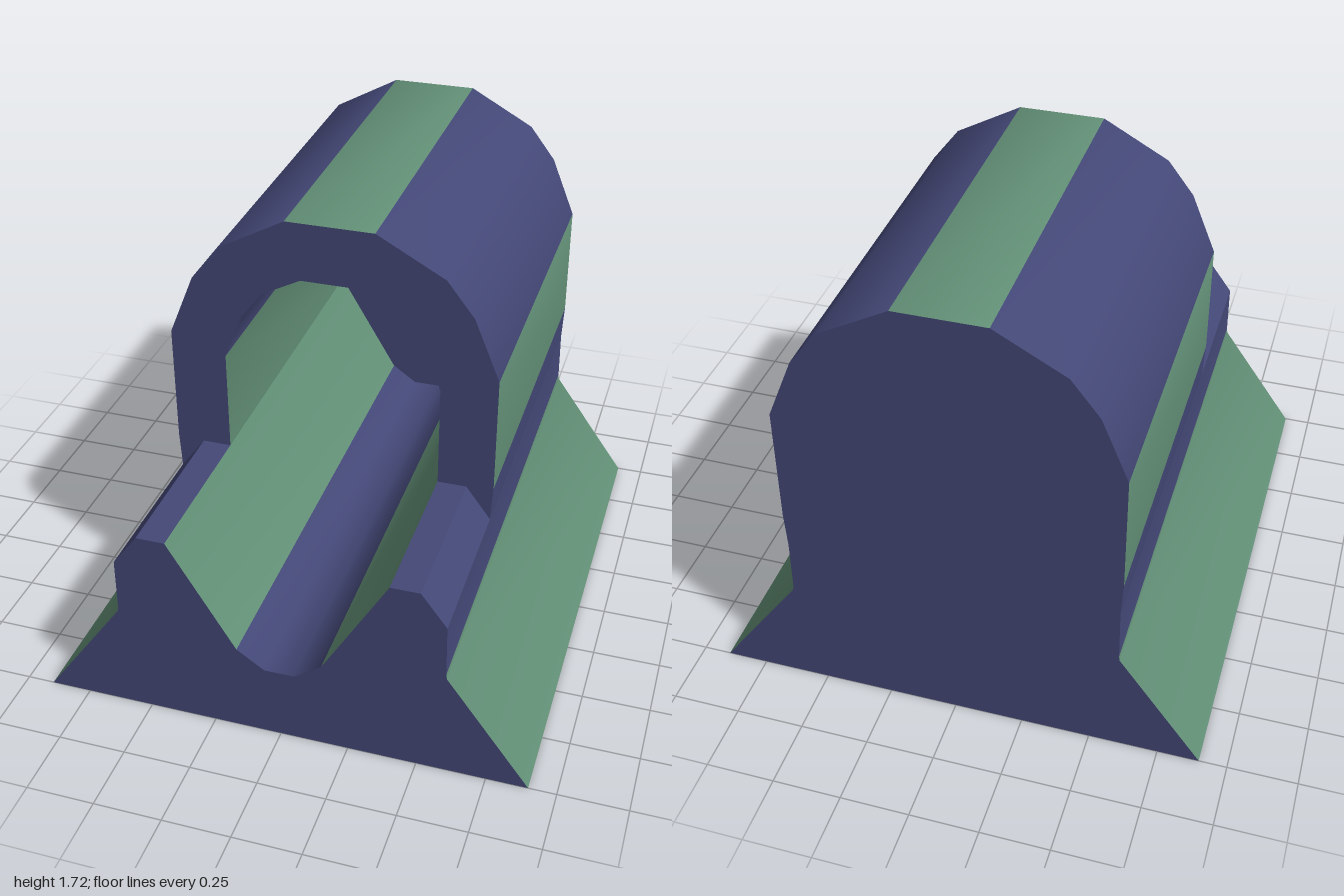
import * as THREE from 'three';
import { toCreasedNormals } from 'three/addons/utils/BufferGeometryUtils.js';

const BACK = -1, STEP = 0.38, FRONT = 1;

// Cross-sections, right half (x > 0), as [x, y]
const BASE = [[0.9, 0], [0.6, 0.42], [0.597, 0.44], [0.595, 0.64]];
const ARCH = [[0.595, 0.64], [0.602, 0.775], [0.602, 1.22], [0.508, 1.45], [0.408, 1.58], [0.16, 1.716]];
const RIM = [[0.595, 0.64], [0.503, 0.765], [0.397, 0.765]];
const TROUGH = [[0.397, 0.765], [0.155, 0.355], [0.055, 0.285]];
const TUNNEL = [[0.397, 0.765], [0.397, 1.15], [0.33, 1.32], [0.25, 1.425], [0.107, 1.5]];

const mirror = (pts) => pts.map(([x, y]) => [-x, y]).reverse();

// Sweeps an open profile along z; the surface faces right of the path
function sweep(points, z0, z1, colours) {
  const pos = [];
  for (let i = 0; i < points.length - 1; i++) {
    const [ax, ay] = points[i], [bx, by] = points[i + 1];
    pos.push(ax, ay, z0, bx, by, z0, bx, by, z1);
    pos.push(ax, ay, z0, bx, by, z1, ax, ay, z1);
  }
  let g = new THREE.BufferGeometry();
  g.setAttribute('position', new THREE.Float32BufferAttribute(pos, 3));
  g = toCreasedNormals(g, 0.75);
  g.clearGroups();
  [...colours].forEach((c, i) => g.addGroup(i * 6, 6, c === 'b' ? 0 : 1));
  return g;
}

export function createModel() {
  const group = new THREE.Group();
  const blue = new THREE.MeshStandardMaterial({ color: 0x444877, side: THREE.DoubleSide });
  blue.name = 'slateBlue';
  const green = new THREE.MeshStandardMaterial({ color: 0x628f76, side: THREE.DoubleSide });
  green.name = 'sageGreen';

  const add = (name, geometry, material = [blue, green]) => {
    const mesh = new THREE.Mesh(geometry, material);
    mesh.name = name;
    group.add(mesh);
    return mesh;
  };
  const endFace = (name, points, z) => {
    const shape = new THREE.Shape(points.map(([x, y]) => new THREE.Vector2(x, y)));
    const mesh = add(name, new THREE.ShapeGeometry(shape), blue);
    mesh.position.z = z;
    return mesh;
  };

  // Sloping skirt and front rims, one per side
  add('leftSkirt', sweep(BASE, BACK, FRONT, 'ggb'));
  add('rightSkirt', sweep(mirror(BASE), BACK, FRONT, 'bgg'));
  add('leftRim', sweep(RIM, STEP, FRONT, 'bb'));
  add('rightRim', sweep(mirror(RIM), STEP, FRONT, 'bb'));

  // Vaulted cover with the tunnel and trough inside it
  add('archCover', sweep([...ARCH, ...mirror(ARCH)], BACK, STEP, 'bgbbbgbbbgb'));
  add('trough', sweep([...TROUGH, ...mirror(TROUGH)], BACK, FRONT, 'gbbbg'));
  add('tunnelLining', sweep([...mirror(TUNNEL).reverse(), ...[...TUNNEL].reverse()], BACK, STEP, 'gbbbbbbbg'));

  // Flat end faces; the underside stays open
  endFace('frontFace', [
    ...BASE, ...RIM.slice(1), ...TROUGH.slice(1),
    ...mirror(TROUGH), ...mirror(RIM).slice(1), ...mirror(BASE).slice(1),
  ], FRONT);
  endFace('archFace', [
    ...ARCH, ...mirror(ARCH), ...mirror(RIM).reverse().slice(1),
    ...mirror(TUNNEL).reverse().slice(1), ...[...TUNNEL].reverse(), [0.503, 0.765],
  ], STEP);
  endFace('backWall', [
    ...BASE, ...ARCH.slice(1), ...mirror(ARCH), ...mirror(BASE).slice(1),
  ], BACK).rotation.y = Math.PI;

  return group;
}
